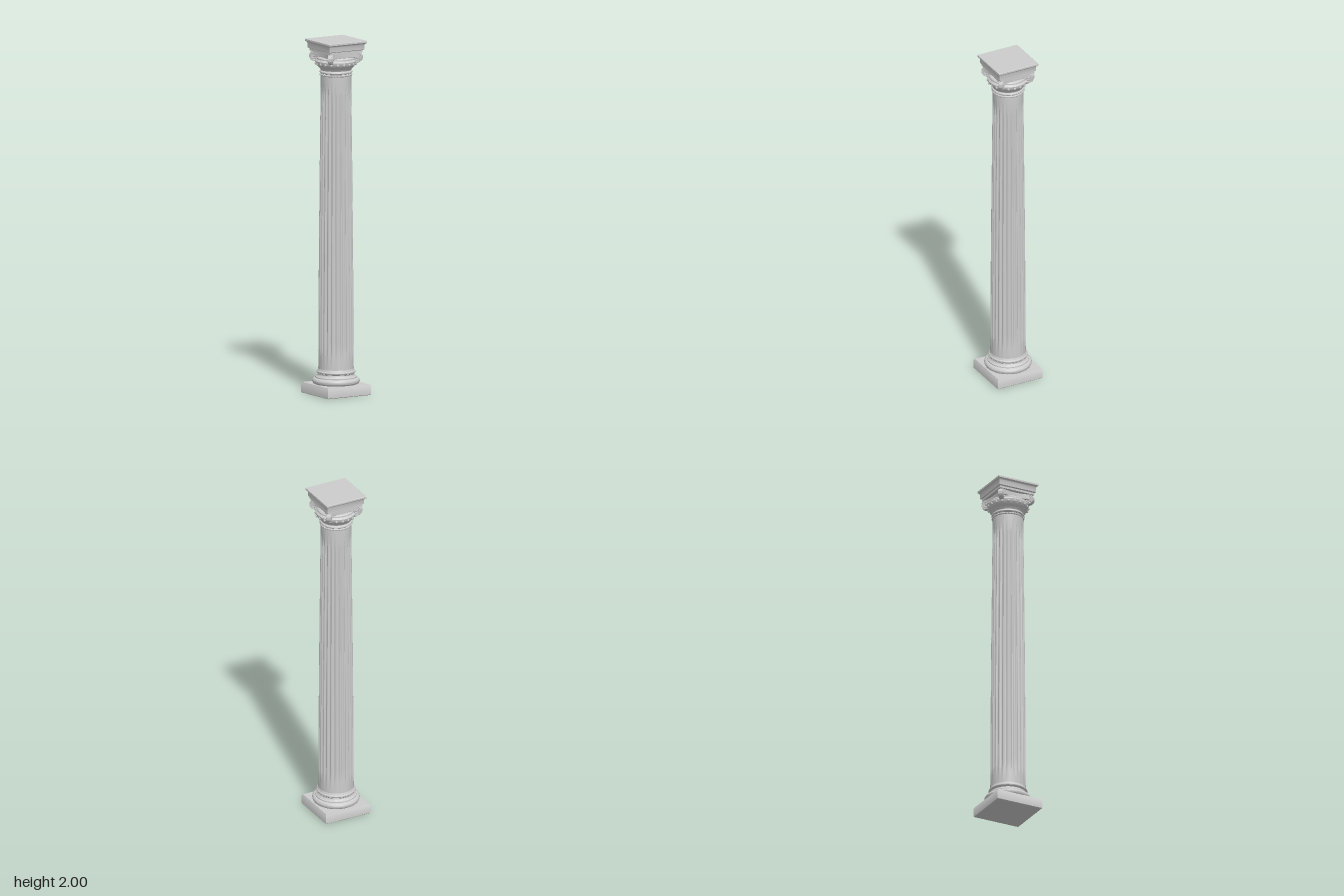
import * as THREE from 'three';
import { toCreasedNormals, mergeGeometries } from 'three/addons/utils/BufferGeometryUtils.js';

const material = new THREE.MeshStandardMaterial({ color: 0xcccccc, side: THREE.DoubleSide });

function add(parent, name, geometry) {
  const mesh = new THREE.Mesh(geometry, material);
  mesh.name = name;
  parent.add(mesh);
  return mesh;
}

// Turned part from [radius, y] pairs, bottom to top
function turned(profile, segments = 72) {
  const points = profile.map(([r, y]) => new THREE.Vector2(r, y));
  return toCreasedNormals(new THREE.LatheGeometry(points, segments), 0.6);
}

// Square moulded block from [halfWidth, y] pairs
function squareBlock(profile) {
  const geometry = turned(profile.map(([h, y]) => [h * Math.SQRT2, y]), 4);
  return geometry.rotateY(Math.PI / 4);
}

// Half-round bulge of a moulding between two heights
function bulge(radius, y0, y1, depth, steps = 8) {
  return Array.from({ length: steps + 1 }, (_, i) => {
    const a = Math.PI * (i / steps - 0.5);
    return [radius + depth * Math.cos(a), (y0 + y1) / 2 + ((y1 - y0) / 2) * Math.sin(a)];
  });
}

// Fluted shaft with a slight entasis; flutes fade out at both ends
function shaftGeometry() {
  const flutes = 24, perFlute = 10, around = flutes * perFlute;
  const levels = [0, 0.02, 0.05, 0.08, 0.1, 0.2, 0.35, 0.5, 0.65, 0.8, 0.9, 0.93, 0.96, 0.98, 1];
  const y0 = 0.13, y1 = 1.81;
  const positions = [], index = [];
  levels.forEach((t, row) => {
    const radius = 0.099 - 0.014 * Math.pow(t, 1.5);
    const fade = THREE.MathUtils.smoothstep(Math.min(t, 1 - t), 0.015, 0.09);
    for (let i = 0; i <= around; i++) {
      const u = (i % perFlute) / perFlute;
      const groove = u < 0.2 ? 0 : Math.sin(((u - 0.2) / 0.8) * Math.PI);
      const r = radius - 0.007 * fade * groove;
      const a = (i / around) * Math.PI * 2;
      positions.push(r * Math.sin(a), y0 + (y1 - y0) * t, r * Math.cos(a));
      if (row > 0 && i < around) {
        const c = row * (around + 1) + i, b = c - around - 1;
        index.push(b, b + 1, c + 1, b, c + 1, c);
      }
    }
  });
  const geometry = new THREE.BufferGeometry();
  geometry.setAttribute('position', new THREE.Float32BufferAttribute(positions, 3));
  geometry.setIndex(index);
  return toCreasedNormals(geometry, 0.5);
}

// Ring of beads around the axis
function beadRing(count, radius, y, size, stretch = 1) {
  const beads = [];
  for (let i = 0; i < count; i++) {
    const a = ((i + 0.5) / count) * Math.PI * 2;
    beads.push(new THREE.SphereGeometry(size, 10, 8).scale(1, stretch, 1)
      .translate(radius * Math.sin(a), y, radius * Math.cos(a)));
  }
  return mergeGeometries(beads);
}

// Corner scroll: a drum with a spiral fillet and an eye on each face
function volute() {
  const group = new THREE.Group();
  group.name = 'volute';
  const half = 0.011;
  add(group, 'scrollDrum', toCreasedNormals(
    new THREE.CylinderGeometry(0.029, 0.029, half * 2, 32).rotateX(Math.PI / 2), 0.6));
  for (const side of [-1, 1]) {
    const path = Array.from({ length: 41 }, (_, i) => {
      const t = i / 40, a = Math.PI / 2 - t * Math.PI * 4.5, r = 0.029 - 0.021 * t;
      return new THREE.Vector3(r * Math.cos(a), r * Math.sin(a), side * half);
    });
    add(group, 'scrollFillet', new THREE.TubeGeometry(
      new THREE.CatmullRomCurve3(path), 90, 0.0032, 6));
    add(group, 'scrollEye', new THREE.SphereGeometry(0.007, 14, 10).translate(0, 0, side * half));
  }
  return group;
}

// Slab with inward-curving sides that joins the scrolls
function channelSlab() {
  const c = 0.098, cut = 0.012, mid = 0.074;
  const shape = new THREE.Shape();
  shape.moveTo(c, -c + cut);
  for (let k = 0; k < 4; k++) {
    const turn = (x, y) => {
      const p = new THREE.Vector2(x, y).rotateAround(new THREE.Vector2(), (k * Math.PI) / 2);
      return [p.x, p.y];
    };
    shape.quadraticCurveTo(...turn(mid * 2 - c + 0.02, 0), ...turn(c, c - cut));
    shape.lineTo(...turn(c - cut, c));
  }
  const geometry = new THREE.ExtrudeGeometry(shape, {
    depth: 0.026, bevelEnabled: true, bevelSize: 0.003, bevelThickness: 0.003,
    bevelSegments: 2, curveSegments: 16,
  });
  return geometry.rotateX(-Math.PI / 2).translate(0, 1.908, 0);
}

export function createModel() {
  const model = new THREE.Group();
  model.name = 'column';

  // Base
  const base = new THREE.Group();
  base.name = 'base';
  model.add(base);
  add(base, 'plinth', squareBlock([
    [0, 0], [0.138, 0], [0.141, 0.003], [0.141, 0.052], [0.136, 0.06], [0, 0.06]]));
  add(base, 'baseMouldings', turned([
    [0.115, 0.058], ...bulge(0.118, 0.06, 0.094, 0.015),
    [0.116, 0.095], [0.116, 0.101], [0.109, 0.104], [0.104, 0.11], [0.103, 0.116], [0.106, 0.12],
    ...bulge(0.103, 0.121, 0.136, 0.006), [0.102, 0.14], [0.098, 0.148]]));

  // Shaft
  add(model, 'flutedShaft', shaftGeometry());

  // Capital
  const capital = new THREE.Group();
  capital.name = 'capital';
  model.add(capital);
  add(capital, 'neckRings', turned([
    [0.084, 1.798], ...bulge(0.085, 1.8, 1.812, 0.004), [0.087, 1.814],
    ...bulge(0.086, 1.815, 1.829, 0.006), [0.085, 1.832]]));
  add(capital, 'neckBeads', beadRing(36, 0.087, 1.806, 0.005));
  add(capital, 'echinus', turned([
    [0.083, 1.828], [0.086, 1.835], [0.093, 1.845], [0.102, 1.854], [0.11, 1.864], [0.115, 1.875],
    [0.116, 1.884], [0.112, 1.89], [0.106, 1.893], [0.106, 1.9], [0.101, 1.906], [0, 1.91]]));
  add(capital, 'echinusBeads', beadRing(20, 0.112, 1.87, 0.0075, 1.2));
  add(capital, 'channelSlab', channelSlab());
  for (let k = 0; k < 4; k++) {
    const holder = new THREE.Group();
    holder.name = 'cornerVolute';
    const scroll = volute();
    scroll.position.set(0.122, 1.906, 0);
    holder.add(scroll);
    holder.rotation.y = Math.PI / 4 + (k * Math.PI) / 2;
    capital.add(holder);
  }

  // Abacus
  add(capital, 'abacus', squareBlock([
    [0, 1.935], [0.108, 1.935], [0.108, 1.947], [0.115, 1.951], [0.116, 1.978], [0.119, 1.984],
    [0.124, 1.987], [0.126, 1.989], [0.126, 1.998], [0.124, 2], [0, 2]]));

  return model;
}
